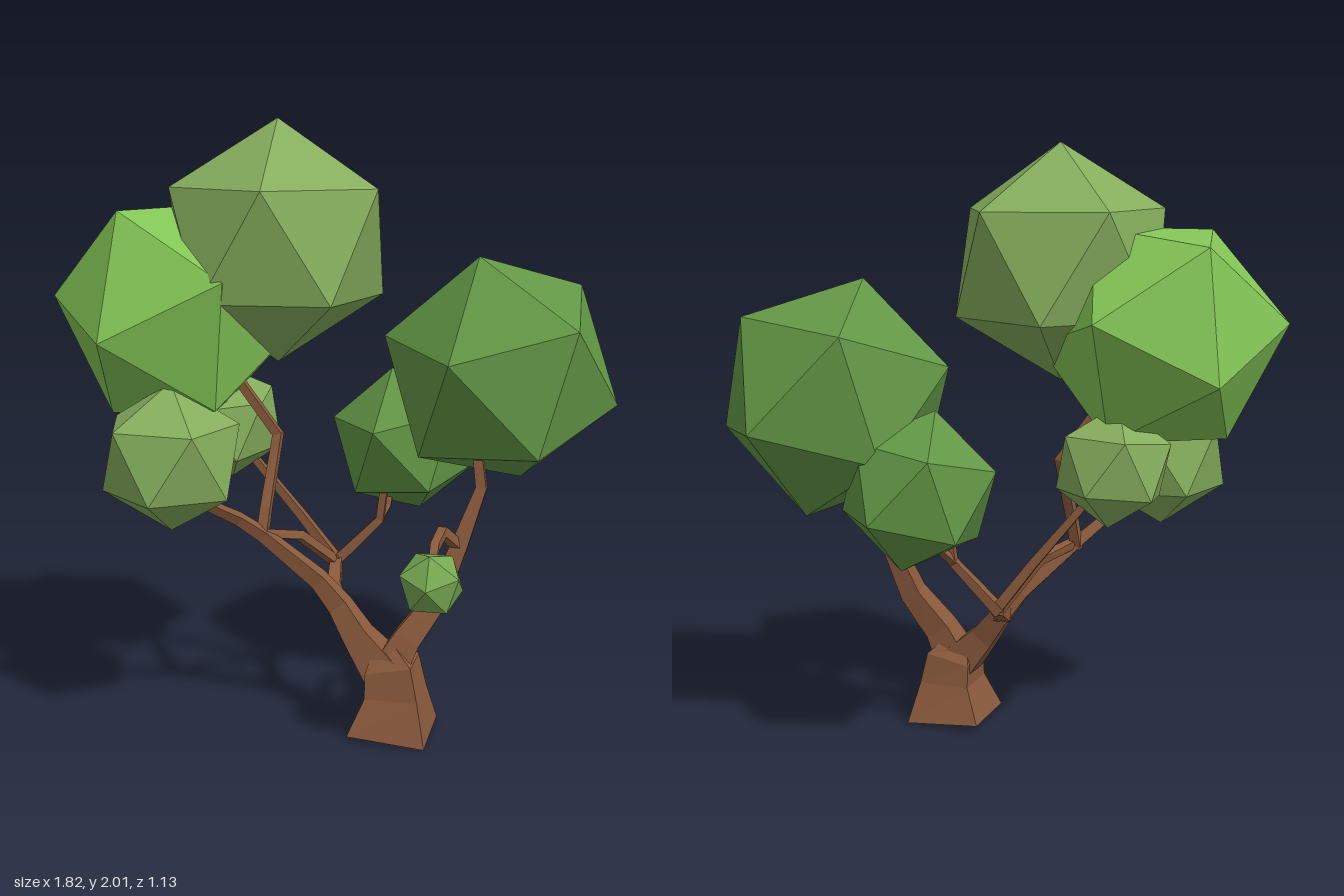
import * as THREE from 'three';

const V = (a) => new THREE.Vector3(...a);
const mat = (color) => new THREE.MeshStandardMaterial({ color, flatShading: true });

// Orthonormal frame from two directions
function frame(a, b) {
  const x = a.clone().normalize();
  const z = x.clone().cross(b).normalize();
  return new THREE.Matrix4().makeBasis(x, z.clone().cross(x), z);
}

// Icosahedron with one corner along `pole` and a neighbouring corner towards `next`
function leafBall(name, center, radius, pole, next, color) {
  const geo = new THREE.IcosahedronGeometry(radius, 0);
  const t = (1 + Math.sqrt(5)) / 2;
  const own = frame(V([-1, t, 0]), V([1, t, 0]));
  geo.applyMatrix4(frame(V(pole), V(next)).multiply(own.transpose()));
  const mesh = new THREE.Mesh(geo, mat(color));
  mesh.name = name;
  mesh.position.set(...center);
  return mesh;
}

// Four-sided tapered limb; each station is [x, y, z, half width]
function limb(name, stations, material) {
  const pts = stations.map((s) => V(s.slice(0, 3)));
  const n = pts.length;
  const span = pts[n - 1].clone().sub(pts[0]).normalize();
  const ref = Math.abs(span.z) > 0.75 ? V([1, 0, 0]) : V([0, 0, 1]);
  const pos = [], index = [];
  pts.forEach((p, i) => {
    const t = pts[Math.min(i + 1, n - 1)].clone().sub(pts[Math.max(i - 1, 0)]).normalize();
    const u = ref.clone().cross(t).normalize();
    const v = t.clone().cross(u);
    const r = stations[i][3];
    for (const [a, b] of [[1, 1], [-1, 1], [-1, -1], [1, -1]])
      pos.push(...p.clone().addScaledVector(u, a * r).addScaledVector(v, b * r).toArray());
  });
  for (let i = 0; i < n - 1; i++)
    for (let j = 0; j < 4; j++) {
      const a = i * 4 + j, b = i * 4 + ((j + 1) % 4);
      index.push(a, b, b + 4, a, b + 4, a + 4);
    }
  const e = (n - 1) * 4;
  index.push(0, 2, 1, 0, 3, 2, e, e + 1, e + 2, e, e + 2, e + 3);
  const geo = new THREE.BufferGeometry();
  geo.setAttribute('position', new THREE.Float32BufferAttribute(pos, 3));
  geo.setIndex(index);
  const flat = geo.toNonIndexed();
  flat.computeVertexNormals();
  const mesh = new THREE.Mesh(flat, material);
  mesh.name = name;
  return mesh;
}

export function createModel() {
  const tree = new THREE.Group();
  tree.name = 'tree';
  const bark = mat(0x8a5a3c);

  // Trunk and branches
  const wood = new THREE.Group();
  wood.name = 'wood';
  const limbs = {
    trunk: [[0.222, 0, 0.132, 0.13], [0.232, 0.13, 0.135, 0.088], [0.22, 0.225, 0.135, 0.078], [0.2, 0.275, 0.13, 0.045]],
    rightLimb: [[0.21, 0.2, 0.135, 0.06], [0.27, 0.32, 0.12, 0.045], [0.36, 0.45, 0.085, 0.036],
      [0.43, 0.64, 0.05, 0.027], [0.49, 0.82, 0.02, 0.018], [0.472, 0.95, 0.01, 0.015]],
    rightTwig: [[0.42, 0.63, 0.06, 0.016], [0.38, 0.695, 0.13, 0.016], [0.37, 0.67, 0.21, 0.014], [0.38, 0.61, 0.34, 0.012]],
    leftLimb: [[0.21, 0.19, 0.14, 0.066], [0.1, 0.31, 0.115, 0.043], [0.03, 0.4, 0.085, 0.034],
      [-0.04, 0.49, 0.1, 0.027], [-0.21, 0.655, 0.17, 0.02], [-0.28, 0.72, 0.22, 0.017], [-0.35, 0.79, 0.32, 0.014]],
    upperLeftBranch: [[-0.215, 0.64, 0.17, 0.018], [-0.208, 0.74, 0.14, 0.017], [-0.19, 0.97, 0.05, 0.016], [-0.32, 1.15, 0.06, 0.014]],
    backBranch: [[0.03, 0.4, 0.08, 0.024], [-0.01, 0.43, 0.0, 0.022], [-0.03, 0.485, -0.12, 0.02]],
    backRightBranch: [[-0.04, 0.475, -0.12, 0.018], [0.12, 0.64, -0.14, 0.014], [0.14, 0.8, -0.14, 0.012]],
    backRightTwig: [[0.115, 0.635, -0.14, 0.012], [0.14, 0.68, -0.18, 0.011], [0.15, 0.78, -0.22, 0.01]],
    backLeftBranch: [[-0.02, 0.475, -0.12, 0.018], [-0.15, 0.65, -0.1, 0.015], [-0.32, 0.86, -0.08, 0.012]],
    linkBranch: [[-0.03, 0.48, -0.12, 0.016], [-0.12, 0.62, 0.04, 0.015], [-0.21, 0.66, 0.17, 0.015]],
  };
  for (const [name, stations] of Object.entries(limbs)) wood.add(limb(name, stations, bark));
  tree.add(wood);

  // Foliage: name, centre, radius, two neighbouring corner directions, colour
  const olive = 0x85ad5c, deep = 0x629645, bright = 0x82c455;
  const foliage = new THREE.Group();
  foliage.name = 'foliage';
  [
    ['topFoliage', [-0.17, 1.615, 0.1], 0.387, [0, 1, -0.02], [0.04, 0.17, 0.34], olive],
    ['upperLeftFoliage', [-0.51, 1.39, 0.115], 0.408, [-0.127, -0.06, 0.385], [-0.4, 0.04, 0.07], bright],
    ['rightFoliage', [0.52, 1.175, -0.18], 0.405, [-0.067, 0.39, 0.095], [-0.12, 0.075, 0.378], deep],
    ['backFoliage', [0.185, 0.9, -0.275], 0.265, [-0.07, 0.07, 0.25], [0.172, -0.2, 0.187], deep],
    ['lowerLeftFoliage', [-0.46, 0.95, 0.35], 0.243, [-0.02, -1, 0], [0, -0.44, 0.9], olive],
    ['innerFoliage', [-0.4, 0.98, -0.06], 0.2, [0.05, -1, -0.1], [0.2, -0.4, -0.9], olive],
    ['smallFoliage', [0.39, 0.612, 0.397], 0.108, [0, 0.05, 1], [0, 1, 0.4], 0x76a852],
  ].forEach((f) => foliage.add(leafBall(...f)));
  tree.add(foliage);
  return tree;
}
